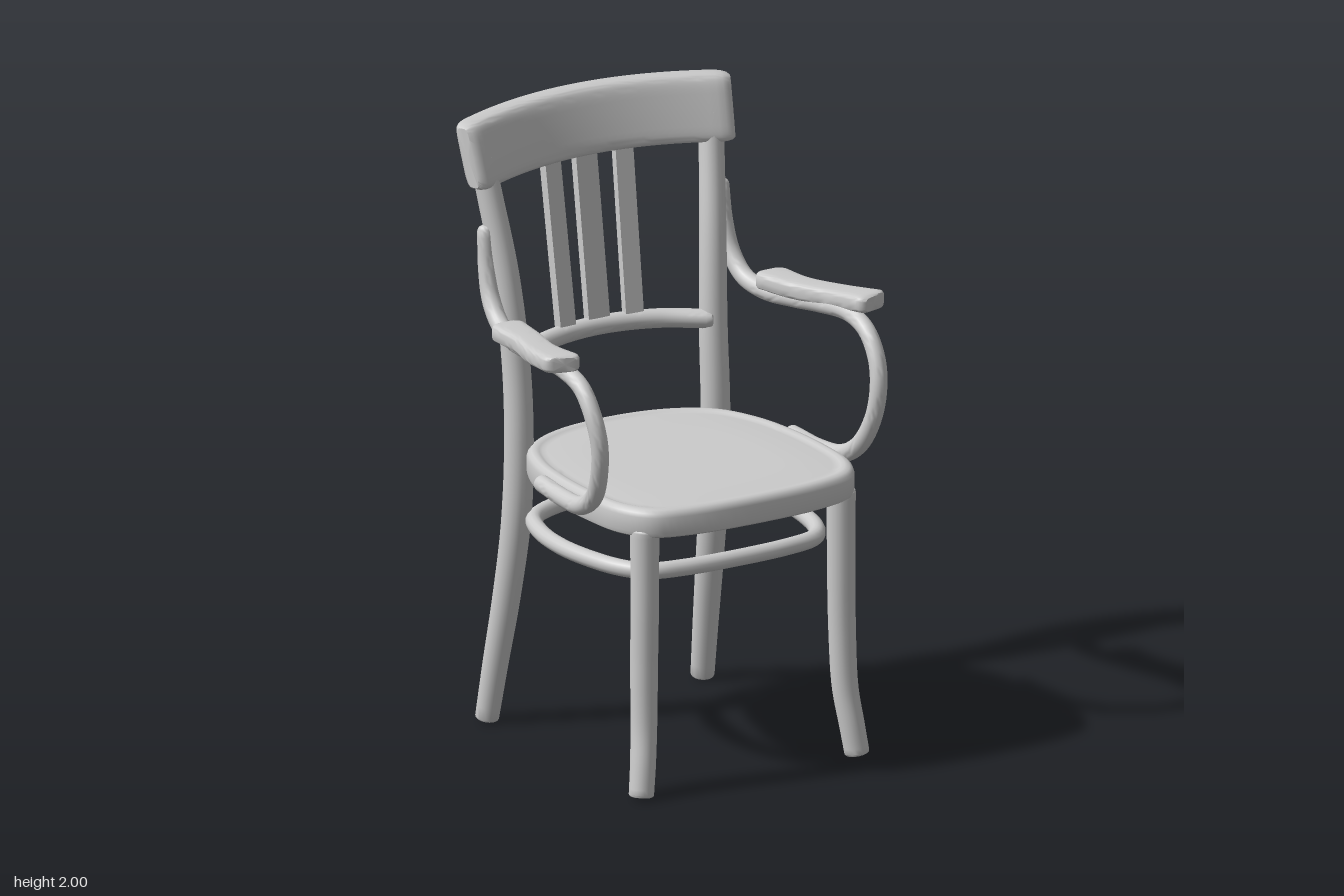
import * as THREE from 'three';
import { toCreasedNormals } from 'three/addons/utils/BufferGeometryUtils.js';

const V = (x, y, z) => new THREE.Vector3(x, y, z);
const material = new THREE.MeshStandardMaterial({ color: 0xcccccc });

function mesh(name, geometry) {
  const m = new THREE.Mesh(geometry, material);
  m.name = name;
  return m;
}

// Skin a stack of equal-length rings, close both ends, and face it outwards
function skin(name, rings, crease = 0.8) {
  const n = rings[0].length, pts = rings.flat(), idx = [];
  for (let r = 0; r < rings.length - 1; r++) {
    for (let i = 0; i < n; i++) {
      const a = r * n + i, b = r * n + (i + 1) % n;
      idx.push(a, b, a + n, b, b + n, a + n);
    }
  }
  for (const r of [0, rings.length - 1]) {
    const c = pts.length;
    pts.push(rings[r].reduce((s, p) => s.add(p), V(0, 0, 0)).divideScalar(n));
    for (let i = 0; i < n; i++) {
      const a = r * n + i, b = r * n + (i + 1) % n;
      r === 0 ? idx.push(c, b, a) : idx.push(c, a, b);
    }
  }
  let volume = 0;
  const ref = pts[pts.length - 1];
  for (let i = 0; i < idx.length; i += 3) {
    const [a, b, c] = [0, 1, 2].map(k => pts[idx[i + k]].clone().sub(ref));
    volume += a.dot(b.cross(c));
  }
  if (volume < 0) idx.reverse();
  const g = new THREE.BufferGeometry().setFromPoints(pts);
  g.setIndex(idx);
  return mesh(name, toCreasedNormals(g, crease));
}

// Round bar along a smooth path; radii are spread evenly over its length
function rod(name, points, radii, round = 0.5, steps = 48, sides = 20) {
  const curve = new THREE.CatmullRomCurve3(points.map(p => V(...p)), false, 'centripetal');
  const { normals, binormals, tangents } = curve.computeFrenetFrames(steps);
  const ring = (i, scale, shift) => {
    const t = i / steps, f = t * (radii.length - 1), k = Math.min(Math.floor(f), radii.length - 2);
    const r = THREE.MathUtils.lerp(radii[k], radii[k + 1], f - k);
    const p = curve.getPointAt(t).addScaledVector(tangents[i], shift * r);
    return Array.from({ length: sides }, (_, j) => {
      const a = j / sides * Math.PI * 2;
      return p.clone().addScaledVector(normals[i], Math.cos(a) * r * scale)
        .addScaledVector(binormals[i], Math.sin(a) * r * scale);
    });
  };
  const rings = [];
  const cap = [0.2, 0.5, 0.8].map(s => s * Math.PI / 2);
  for (const a of cap) rings.push(ring(0, 1 - round + round * Math.sin(a), -round * Math.cos(a)));
  for (let i = 0; i <= steps; i++) rings.push(ring(i, 1, 0));
  for (const a of cap.reverse()) rings.push(ring(steps, 1 - round + round * Math.sin(a), round * Math.cos(a)));
  return skin(name, rings, 1.0);
}

// Unit rounded-square outline
const squircle = (n, power) => Array.from({ length: n }, (_, i) => {
  const a = i / n * Math.PI * 2, f = v => Math.sign(v) * Math.abs(v) ** (2 / power);
  return [f(Math.cos(a)), f(Math.sin(a))];
});

// Closed outline in the floor plane from its right half, listed front to back
function outline(half, count) {
  const left = half.slice(1, -1).reverse().map(([x, z]) => [-x, z]);
  return new THREE.CatmullRomCurve3([...half, ...left].map(([x, z]) => V(x, 0, z)), true, 'centripetal').getPoints(count).slice(0, -1);
}

function seat() {
  const edge = outline([[0, 0.565], [0.25, 0.55], [0.37, 0.51], [0.435, 0.41], [0.455, 0.25],
    [0.45, 0.05], [0.42, -0.12], [0.35, -0.26], [0.21, -0.345], [0, -0.375]], 96);
  // inset and height pairs from the underside panel, round the rim, to the top panel
  const profile = [[0.30, 0.835], [0.07, 0.84], [0.05, 0.855], [0.015, 0.855], [0.004, 0.862], [0, 0.875],
    [0, 0.925], [0.004, 0.938], [0.013, 0.947], [0.026, 0.95], [0.037, 0.946], [0.046, 0.942], [0.06, 0.944], [0.2, 0.944]];
  return skin('seat', profile.map(([inset, y]) => edge.map(p =>
    V(p.x * (1 - inset / 0.455), y, 0.095 + (p.z - 0.095) * (1 - inset / 0.47)))), 0.7);
}

// Bowed, backward-leaning top rail with softened ends
function crestRail() {
  const section = squircle(40, 5), stations = [];
  for (let i = -16; i <= 16; i++) stations.push([i / 16 * 0.445, 1, 1]);
  for (const [x, t, h] of [[0.466, 0.94, 0.985], [0.482, 0.78, 0.95], [0.491, 0.5, 0.89]]) {
    stations.push([x, t, h]);
    stations.unshift([-x, t, h]);
  }
  return skin('crestRail', stations.map(([x, t, h]) => {
    const slope = 0.2 * x / 0.2116, len = Math.hypot(1, slope);
    const z = -0.502 + 0.1 * x * x / 0.2116;
    return section.map(([u, v]) => {
      const d = u * t * 0.042, y = v * h * 0.104;
      return V(x - d * slope / len + Math.sign(x) * Math.abs(x) * y * 0.15, 1.896 + y - 0.04 * x * x, z + d / len - y * 0.28);
    });
  }), 0.7);
}

// Flared arm pad, wider strokes towards the front corner
function armPad(s) {
  const path = new THREE.CatmullRomCurve3([V(0.49, 1.38, -0.15), V(0.505, 1.384, -0.02),
    V(0.545, 1.395, 0.13), V(0.573, 1.416, 0.29)]);
  const section = squircle(32, 4.5), rings = [];
  const ring = (t, w, shift) => {
    const p = path.getPoint(t), hw = (0.059 - 0.01 * Math.sin(Math.PI * t)) * w;
    rings.push(section.map(([u, v]) => V(s * (p.x + u * hw), p.y + v * 0.029 * Math.sqrt(w), p.z + shift - u * 0.012 * t)));
  };
  [[0.6, -0.025], [0.82, -0.02], [0.94, -0.01]].forEach(([w, d]) => ring(0, w, d));
  for (let i = 0; i <= 16; i++) ring(i / 16, 1, 0);
  [[0.94, 0.012], [0.82, 0.022], [0.6, 0.027]].forEach(([w, d]) => ring(1, w, d));
  return skin('armPad', rings, 0.7);
}

export function createModel() {
  const chair = new THREE.Group();
  chair.name = 'armchair';
  chair.add(seat(), crestRail());

  for (const s of [1, -1]) {
    const side = new THREE.Group();
    side.name = s > 0 ? 'leftSide' : 'rightSide';
    const mirror = pts => pts.map(([x, y, z]) => [s * x, y, z]);
    side.add(
      rod('frontLeg', mirror([[0.4, 0.01, 0.492], [0.388, 0.1, 0.482], [0.374, 0.22, 0.465], [0.368, 0.4, 0.457],
        [0.365, 0.65, 0.456], [0.365, 0.87, 0.456]]), [0.04, 0.043, 0.045, 0.046], 0.2),
      // back leg and back post are one bent bar
      rod('backPost', mirror([[0.4, 0.01, -0.42], [0.39, 0.2, -0.385], [0.378, 0.42, -0.342], [0.368, 0.7, -0.298],
        [0.365, 0.95, -0.288], [0.366, 1.2, -0.302], [0.385, 1.5, -0.335], [0.412, 1.75, -0.385], [0.425, 1.87, -0.41]]),
        [0.038, 0.044, 0.048, 0.046, 0.043, 0.04], 0.2),
      // bent arm: down the post, under the pad, round the front, back along the seat
      rod('armHoop', mirror([[0.438, 1.64, -0.37], [0.441, 1.53, -0.358], [0.446, 1.43, -0.325], [0.453, 1.365, -0.26],
        [0.468, 1.342, -0.16], [0.492, 1.35, -0.02], [0.515, 1.362, 0.1], [0.53, 1.37, 0.24], [0.53, 1.34, 0.345],
        [0.527, 1.26, 0.41], [0.518, 1.17, 0.432], [0.508, 1.07, 0.415], [0.494, 0.975, 0.36], [0.483, 0.92, 0.27],
        [0.473, 0.908, 0.16], [0.465, 0.915, 0.01]]), [0.026, 0.03, 0.029, 0.028, 0.028, 0.028, 0.03, 0.028], 0.8, 96),
      armPad(s));
    chair.add(side);
  }

  // Lower back rail
  chair.add(rod('lowerBackRail', [[-0.35, 1.232, -0.29], [-0.2, 1.237, -0.372], [0, 1.24, -0.405],
    [0.2, 1.237, -0.372], [0.35, 1.232, -0.29]], [0.031, 0.031], 0.2));

  // Back slats, leaning from the lower rail into the crest
  for (const [x, w] of [[-0.13, 0.062], [0, 0.078], [0.13, 0.062]]) {
    const z = x ? 0.013 : 0, dy = 0.6, dz = -0.088;
    const slat = mesh('backSlat', new THREE.BoxGeometry(w, Math.hypot(dy, dz), 0.03));
    slat.position.set(x, 1.54, -0.447 + z);
    slat.rotation.x = Math.atan2(dz, dy);
    slat.rotation.order = 'YXZ';
    slat.rotation.y = -x * 0.9;
    chair.add(slat);
  }

  // Stretcher hoop inside the legs
  const hoop = outline([[0, 0.425], [0.2, 0.415], [0.31, 0.385], [0.365, 0.31], [0.4, 0.18], [0.412, 0.04],
    [0.39, -0.12], [0.33, -0.25], [0.2, -0.32], [0, -0.345]], 48);
  const hoopCurve = new THREE.CatmullRomCurve3(hoop.map(p => V(p.x, 0.705, p.z)), true);
  chair.add(mesh('stretcherHoop', new THREE.TubeGeometry(hoopCurve, 120, 0.027, 14, true)));

  return chair;
}
